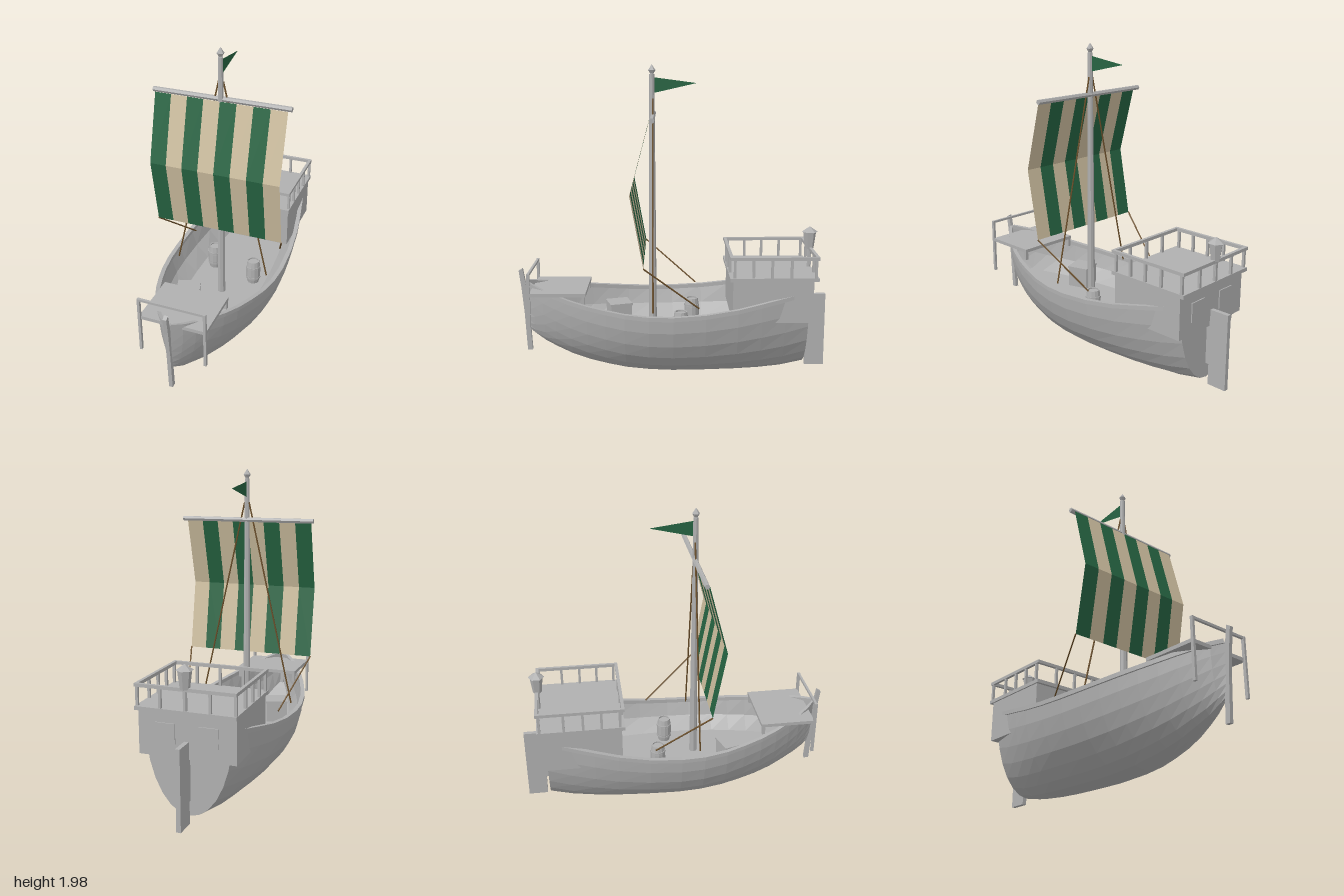
import * as THREE from 'three';

const mat = (name, color, side = THREE.FrontSide) => {
  const m = new THREE.MeshStandardMaterial({ color, side });
  m.name = name;
  return m;
};

// Faceted normals for every part
const flat = (geo) => {
  const g = geo.index ? geo.toNonIndexed() : geo;
  g.computeVertexNormals();
  return g;
};

// Skin between successive cross-sections
function loft(rings) {
  const pos = [];
  for (let i = 0; i < rings.length - 1; i++) {
    for (let j = 0; j < rings[i].length - 1; j++) {
      const a = rings[i][j], b = rings[i + 1][j], c = rings[i + 1][j + 1], d = rings[i][j + 1];
      pos.push(...a, ...b, ...c, ...a, ...c, ...d);
    }
  }
  const g = new THREE.BufferGeometry();
  g.setAttribute('position', new THREE.Float32BufferAttribute(pos, 3));
  g.computeVertexNormals();
  return g;
}

// Hull stations: z, half width, sheer height, keel height
const STATIONS = [
  [-0.85, 0.265, 0.59, 0.055], [-0.7, 0.295, 0.555, 0.025], [-0.55, 0.325, 0.525, 0.012],
  [-0.4, 0.35, 0.495, 0.006], [-0.2, 0.37, 0.468, 0.002], [0, 0.376, 0.455, 0],
  [0.15, 0.368, 0.455, 0.006], [0.3, 0.343, 0.465, 0.02], [0.42, 0.31, 0.48, 0.042],
  [0.54, 0.27, 0.497, 0.07], [0.65, 0.223, 0.517, 0.105], [0.75, 0.172, 0.54, 0.15],
  [0.83, 0.122, 0.56, 0.19], [0.9, 0.068, 0.578, 0.24], [0.955, 0.01, 0.595, 0.285],
];
const DECK = 0.27;

export function createModel() {
  const ship = new THREE.Group();
  ship.name = 'sailingShip';
  const timber = mat('grey timber', 0xb0b0b0);
  const green = mat('green cloth', 0x266442, THREE.DoubleSide);
  const cream = mat('cream cloth', 0xcdbe9f, THREE.DoubleSide);
  const rope = mat('brown rope', 0x6b4f2a);

  const add = (name, geo, material = timber, parent = ship) => {
    const m = new THREE.Mesh(flat(geo), material);
    m.name = name;
    parent.add(m);
    return m;
  };
  // Box given by its ranges along x, y and z
  const box = (name, x0, x1, y0, y1, z0, z1, parent = ship) => {
    const m = add(name, new THREE.BoxGeometry(x1 - x0, y1 - y0, z1 - z0), timber, parent);
    m.position.set((x0 + x1) / 2, (y0 + y1) / 2, (z0 + z1) / 2);
    return m;
  };
  const group = (name) => {
    const g = new THREE.Group();
    g.name = name;
    ship.add(g);
    return g;
  };
  // Straight rod between two points
  const rod = (name, from, to, r, material) => {
    const a = new THREE.Vector3(...from), b = new THREE.Vector3(...to);
    const m = add(name, new THREE.CylinderGeometry(r, r, a.distanceTo(b), 6), material);
    m.position.copy(a).add(b).multiplyScalar(0.5);
    m.quaternion.setFromUnitVectors(new THREE.Vector3(0, 1, 0), b.sub(a).normalize());
    return m;
  };

  // Hull shell
  const N = 14;
  const section = ([z, w, top, keel]) => Array.from({ length: N + 1 }, (_, j) => {
    const t = Math.PI / 2 - (j / N) * Math.PI;
    return [w * Math.sin(t), keel + (top - keel) * (1 - Math.cos(t)), z];
  });
  add('hull', loft(STATIONS.map(section)));

  // Flat stern
  const stern = new THREE.Shape(section(STATIONS[0]).map(([x, y]) => new THREE.Vector2(x, y)));
  add('transom', new THREE.ShapeGeometry(stern).rotateY(Math.PI).translate(0, 0, -0.85));

  // Inner sides and deck
  add('deckAndInnerSides', loft(STATIONS.map(([z, w, top, keel]) => {
    const d = Math.max(DECK, keel + 0.09);
    const half = [[Math.max(w - 0.012, 0), top], [w * 0.87, d + (top - d) * 0.42], [w * 0.64, d]];
    return [
      ...half.map(([x, y]) => [-x, y, z]),
      ...half.reverse().map(([x, y]) => [x, y, z]),
    ];
  })));

  // Gunwales
  for (const s of [1, -1]) {
    add(s > 0 ? 'leftGunwale' : 'rightGunwale', loft(STATIONS.map(([z, w, top]) => {
      const o = w + 0.01, i = Math.max(w - 0.018, 0);
      const ring = [[o, top + 0.008], [o, top - 0.018], [i, top - 0.018], [i, top + 0.008], [o, top + 0.008]]
        .map(([x, y]) => [s * x, y, z]);
      return s > 0 ? ring : ring.reverse();
    })));
  }

  // Curved stem post, drawn in the z-y plane
  const stem = new THREE.Shape([[0.925, 0.13], [0.957, 0.13], [0.97, 0.38], [0.985, 0.55], [1, 0.665],
    [0.975, 0.68], [0.953, 0.55], [0.94, 0.38]].map((p) => new THREE.Vector2(...p)));
  add('stemPost', new THREE.ExtrudeGeometry(stem, { depth: 0.024, bevelEnabled: false })
    .rotateY(-Math.PI / 2).scale(1, 1, 1).translate(0.012, 0, 0));

  // Rudder
  box('rudder', -0.014, 0.014, 0.02, 0.505, -1, -0.875);
  box('rudderMount', -0.01, 0.01, 0.15, 0.45, -0.885, -0.845);

  // Stern castle with railing and windows
  const castle = group('sternCastle');
  box('cabin', -0.295, 0.295, 0.4, 0.665, -0.87, -0.37, castle);
  box('roofDeck', -0.305, 0.305, 0.665, 0.688, -0.9, -0.35, castle);
  for (const s of [1, -1]) {
    box('sternWindow', s * 0.13 - 0.06, s * 0.13 + 0.06, 0.48, 0.6, -0.877, -0.868, castle);
    box('sideRail', s * 0.295 - 0.01, s * 0.295 + 0.01, 0.8, 0.82, -0.9, -0.35, castle);
    for (const z of [-0.38, -0.495, -0.61, -0.73, -0.88]) {
      box('railPost', s * 0.295 - 0.008, s * 0.295 + 0.008, 0.685, 0.805, z - 0.008, z + 0.008, castle);
    }
  }
  for (const z of [-0.36, -0.89]) {
    box('crossRail', -0.3, 0.3, 0.8, 0.82, z - 0.01, z + 0.01, castle);
    for (const x of [-0.15, 0, 0.15]) {
      box('railPost', x - 0.008, x + 0.008, 0.685, 0.805, z - 0.008, z + 0.008, castle);
    }
  }

  // Stern lantern
  const lantern = group('sternLantern');
  lantern.position.set(0, 0, -0.885);
  add('lanternPost', new THREE.CylinderGeometry(0.012, 0.012, 0.14, 6).translate(0, 0.75, 0), timber, lantern);
  add('lanternBody', new THREE.CylinderGeometry(0.042, 0.028, 0.11, 6).translate(0, 0.865, 0), timber, lantern);
  add('lanternRoof', new THREE.ConeGeometry(0.052, 0.035, 6).translate(0, 0.937, 0), timber, lantern);

  // Bow platform with its front rail
  const bow = group('bowPlatform');
  box('platform', -0.212, 0.212, 0.545, 0.567, 0.55, 0.905, bow);
  box('frontRail', -0.215, 0.215, 0.68, 0.695, 0.9, 0.915, bow);
  for (const s of [1, -1]) {
    box('frontPost', s * 0.207 - 0.008, s * 0.207 + 0.008, 0.325, 0.695, 0.898, 0.917, bow);
    box('rearSupport', s * 0.2 - 0.01, s * 0.2 + 0.01, 0.49, 0.55, 0.555, 0.575, bow);
  }

  // Mast, finial and yard
  add('mast', new THREE.CylinderGeometry(0.016, 0.026, 1.66, 8).translate(0, 1.09, 0.13));
  add('finial', new THREE.LatheGeometry(
    [[0, 1.905], [0.012, 1.91], [0.012, 1.925], [0.023, 1.945], [0, 1.98]]
      .map((p) => new THREE.Vector2(...p)), 6).translate(0, 0, 0.13));
  rod('yard', [-0.44, 1.66, 0.125], [0.44, 1.66, 0.125], 0.016);

  // Striped sail, folded once across the middle
  const sail = group('sail');
  for (let i = 0; i < 8; i++) {
    const x0 = -0.42 + i * 0.105, x1 = x0 + 0.105;
    const rows = [[0.78, 0.18], [1.22, 0.26], [1.65, 0.145]];
    add('sailStripe', loft([x0, x1].map((x) => rows.map(([y, z]) => [x, y, z]))), i % 2 ? cream : green, sail);
  }

  // Pennant
  const pennant = new THREE.Shape([[0.115, 1.805], [-0.15, 1.865], [0.115, 1.9]].map((p) => new THREE.Vector2(...p)));
  add('pennant', new THREE.ShapeGeometry(pennant).rotateY(-Math.PI / 2), green);

  // Shrouds and sheets
  for (const s of [1, -1]) {
    rod('shroud', [s * 0.015, 1.77, 0.125], [s * 0.31, 0.47, 0.125], 0.005, rope);
    rod('sheet', [s * 0.42, 0.78, 0.18], [s * 0.31, 0.5, -0.16], 0.005, rope);
  }

  // Barrels with recessed lids and hoops
  for (const [x, z] of [[-0.15, -0.13], [0.16, -0.05]]) {
    const barrel = group('barrel');
    barrel.position.set(x, DECK, z);
    add('barrelBody', new THREE.LatheGeometry(
      [[0, 0], [0.039, 0], [0.049, 0.05], [0.049, 0.11], [0.04, 0.165], [0.034, 0.165], [0.034, 0.155], [0, 0.155]]
        .map((p) => new THREE.Vector2(...p)), 12), timber, barrel);
    for (const y of [0.04, 0.12]) {
      add('barrelHoop', new THREE.CylinderGeometry(0.051, 0.051, 0.012, 12).translate(0, y, 0), timber, barrel);
    }
  }

  // Crate on the foredeck
  const crate = group('crate');
  crate.position.set(-0.14, DECK, 0.36);
  crate.rotation.y = 0.3;
  box('crateBody', -0.07, 0.07, 0, 0.13, -0.07, 0.07, crate);
  box('crateLid', -0.075, 0.075, 0.13, 0.145, -0.075, 0.075, crate);

  return ship;
}
